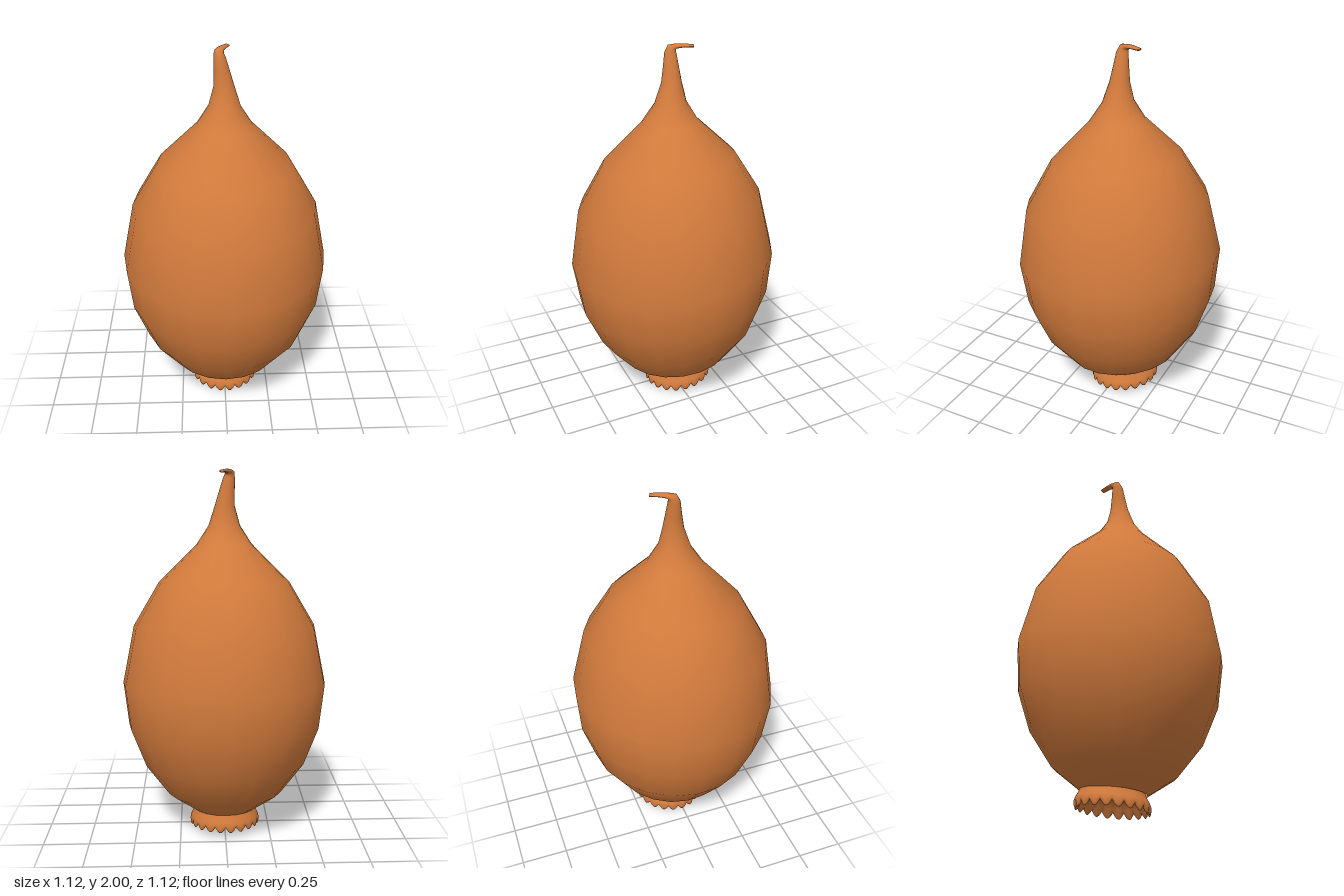
import * as THREE from 'three';

const UP = new THREE.Vector3(0, 1, 0);

// Skin a list of rings (each a function of angle returning a point) into one smooth surface
function skin(rings, sides) {
  const pos = [], idx = [];
  for (const ring of rings) {
    for (let j = 0; j < sides; j++) pos.push(...ring((j / sides) * Math.PI * 2).toArray());
  }
  for (let i = 0; i < rings.length - 1; i++) {
    for (let j = 0; j < sides; j++) {
      const k = (j + 1) % sides;
      const a = i * sides + j, b = i * sides + k, c = a + sides, d = b + sides;
      idx.push(a, c, b, b, c, d);
    }
  }
  const g = new THREE.BufferGeometry();
  g.setAttribute('position', new THREE.Float32BufferAttribute(pos, 3));
  g.setIndex(idx);
  g.computeVertexNormals();
  return g;
}

// Elliptical ring around a centre, facing along an axis
function ringAt([x, y, z, r, axis = [0, 1, 0.09], flat = 1]) {
  const q = new THREE.Quaternion().setFromUnitVectors(UP, new THREE.Vector3(...axis).normalize());
  return (t) => {
    const p = new THREE.Vector3(r * Math.cos(t), 0, r * Math.sin(t)).applyQuaternion(q);
    return p.set(p.x + x, p.y * flat + y, p.z + z);
  };
}

export function createModel() {
  const group = new THREE.Group();
  const material = new THREE.MeshStandardMaterial({ color: 0xd17a3c, side: THREE.DoubleSide });
  const add = (name, geometry) => {
    const mesh = new THREE.Mesh(geometry, material);
    mesh.name = name;
    group.add(mesh);
  };

  // Bulb drawn up into a thin stem whose tip hooks backwards: x, y, z, radius, axis, flattening
  const hook = [0.36, 0, -0.93];
  add('bulbAndStem', skin([
    [0, 0.115, -0.03, 0.172],
    [0, 0.225, -0.028, 0.325],
    [0, 0.4, -0.02, 0.453],
    [0, 0.61, -0.01, 0.533],
    [0, 0.85, 0, 0.56],
    [0, 1.167, 0.015, 0.495],
    [0, 1.403, 0.018, 0.355],
    [0, 1.61, 0.015, 0.147],
    [0, 1.707, 0.008, 0.084],
    [-0.002, 1.81, 0, 0.053, [0, 1, 0]],
    [-0.014, 1.885, -0.002, 0.041, [-0.15, 1, 0]],
    [-0.024, 1.955, -0.004, 0.031, [0, 1, -0.1]],
    [-0.027, 1.979, -0.013, 0.025, [0.2, 0.8, -0.55]],
    [-0.02, 1.987, -0.035, 0.021, hook, 0.6],
    [-0.005, 1.99, -0.068, 0.019, hook, 0.5],
    [0.015, 1.988, -0.114, 0.016, hook, 0.45],
    [0.015, 1.988, -0.114, 0.0005, hook],
  ].map(ringAt), 20));

  // Flared collar with a scalloped lower rim, hollow underneath: radius, height, scallop depth
  const teeth = 20;
  const collarRing = ([r, y, depth]) => (t) => {
    const s = Math.abs(Math.sin((t * teeth) / 2));
    const rad = r + (depth > 0 ? 0.004 * s : 0);
    const z = rad * Math.sin(t);
    return new THREE.Vector3(rad * Math.cos(t), y - depth * s - 0.1 * z, z - 0.037);
  };
  add('scallopedCollar', skin([
    [0.0005, 0.105, 0],
    [0.145, 0.1, 0],
    [0.165, 0.065, 0],
    [0.178, 0.052, 0.026],
    [0.185, 0.05, 0.031],
    [0.19, 0.053, 0.026],
    [0.193, 0.062, 0.008],
    [0.188, 0.078, 0],
    [0.173, 0.105, 0],
    [0.165, 0.13, 0],
  ].map(collarRing), teeth * 8));

  return group;
}
